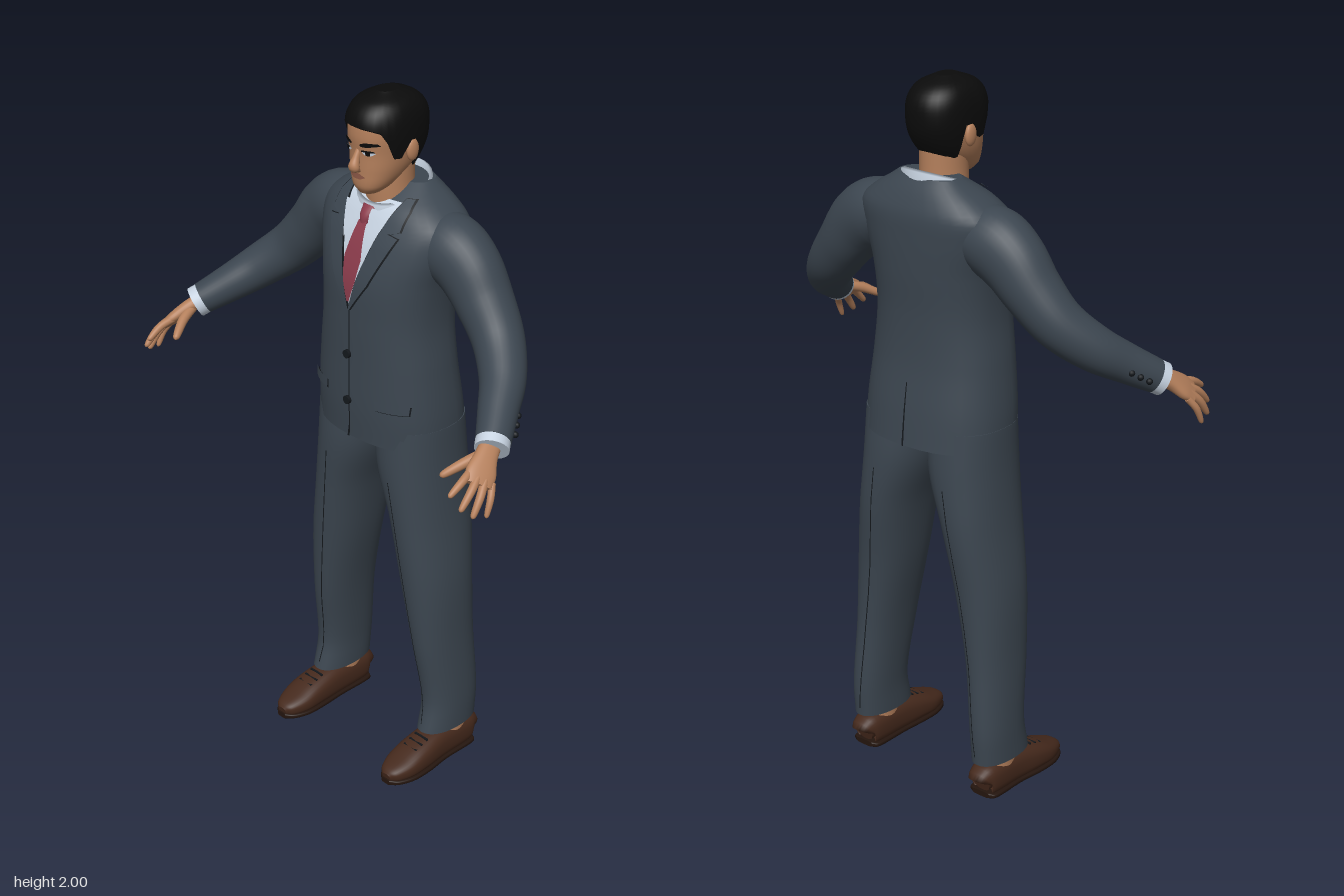
import * as THREE from 'three';

const V = (x, y, z) => new THREE.Vector3(x, y, z);
const mat = (name, color) => Object.assign(new THREE.MeshStandardMaterial({ color }), { name });
const SIDES = 32;

// Smooth interpolation of section rows; the first number of each row is the parameter
function sample(rows, t) {
  const n = rows.length - 1;
  t = THREE.MathUtils.clamp(t, rows[0][0], rows[n][0]);
  let i = 0;
  while (i < n - 1 && t > rows[i + 1][0]) i++;
  const a = rows[Math.max(i - 1, 0)], b = rows[i], c = rows[i + 1], d = rows[Math.min(i + 2, n)];
  const h = c[0] - b[0], u = (t - b[0]) / h, u2 = u * u, u3 = u2 * u;
  return b.slice(1).map((_, j) => {
    const k = j + 1;
    const m0 = (c[k] - a[k]) / (c[0] - a[0]) * h, m1 = (d[k] - b[k]) / (d[0] - b[0]) * h;
    return (2 * u3 - 3 * u2 + 1) * b[k] + (u3 - 2 * u2 + u) * m0 + (3 * u2 - 2 * u3) * c[k] + (u3 - u2) * m1;
  });
}

// Skin over closed rings of points, with flat caps
function loft(rings, caps = true) {
  const n = rings[0].length, pos = [], idx = [];
  rings.forEach(r => r.forEach(p => pos.push(p.x, p.y, p.z)));
  for (let i = 0; i < rings.length - 1; i++) for (let j = 0; j < n; j++) {
    const a = i * n + j, b = i * n + (j + 1) % n;
    idx.push(a, b, b + n, a, b + n, a + n);
  }
  if (caps) [rings[0], rings[rings.length - 1]].forEach((r, end) => {
    const base = pos.length / 3, c = V(0, 0, 0);
    r.forEach(p => { pos.push(p.x, p.y, p.z); c.addScaledVector(p, 1 / n); });
    pos.push(c.x, c.y, c.z);
    for (let j = 0; j < n; j++) {
      const a = base + j, b = base + (j + 1) % n;
      idx.push(base + n, ...(end ? [a, b] : [b, a]));
    }
  });
  return geometry(pos, idx);
}
function geometry(pos, idx) {
  const g = new THREE.BufferGeometry();
  g.setAttribute('position', new THREE.Float32BufferAttribute(pos, 3));
  g.setIndex(idx);
  g.computeVertexNormals();
  return g;
}
const power = (v, p) => Math.sign(v) * Math.abs(v) ** (2 / p);

// Body = rows of [y, centreX, halfWidth, zFront, zBack] with a superellipse outline
function bodyPoint(body, a, y, off = 0) {
  const [cx, w, zf, zb] = sample(body.rows, y);
  return V(cx + (w + off) * power(Math.sin(a), body.p), y,
    (zf + zb) / 2 + ((zf - zb) / 2 + off) * power(Math.cos(a), body.p));
}
const circle = f => Array.from({ length: SIDES }, (_, j) => f(j / SIDES * Math.PI * 2));
function stack(body, steps = 40) {
  const y0 = body.rows[0][0], y1 = body.rows[body.rows.length - 1][0];
  return loft(Array.from({ length: steps + 1 }, (_, i) =>
    circle(a => bodyPoint(body, a, y0 + (y1 - y0) * i / steps))));
}

// Limb = rows of [x, y, z, thickness, width] along a path; ref is the thickness direction
function limb(points, ref, p = 2, steps = 6) {
  const rows = points.map((r, i) => [i, ...r]), n = (rows.length - 1) * steps, rings = [];
  const at = t => V(...sample(rows, t).slice(0, 3));
  for (let i = 0; i <= n; i++) {
    const t = i / steps, s = sample(rows, t), c = at(t);
    const T = at(t + 0.05).sub(at(t - 0.05)).normalize();
    const N = ref.clone().addScaledVector(T, -ref.dot(T)).normalize(), B = T.clone().cross(N);
    rings.push(circle(a => c.clone().addScaledVector(N, s[3] * power(Math.cos(a), p))
      .addScaledVector(B, s[4] * power(Math.sin(a), p))));
  }
  return loft(rings);
}

// Thin panel lying on a body's front (dir 1) or back (dir -1); rows of [y, x0, x1]
function panel(body, rows, off, dir = 1, cols = 6, sub = 5) {
  const pos = [], idx = [], n = (rows.length - 1) * sub;
  for (let i = 0; i <= n; i++) {
    const k = Math.min(Math.floor(i / sub), rows.length - 2), t = i / sub - k;
    const [y, l, r] = rows[k].map((v, j) => THREE.MathUtils.lerp(v, rows[k + 1][j], t));
    const [cx, w, zf, zb] = sample(body.rows, y);
    for (let j = 0; j <= cols; j++) {
      const x = Math.min(l, r) + Math.abs(r - l) * j / cols;
      const q = Math.min(1, Math.abs(x - cx) / (w + off));
      pos.push(x, y, (zf + zb) / 2 + dir * ((zf - zb) / 2 + off) * (1 - q ** body.p) ** (1 / body.p));
    }
  }
  for (let i = 0; i < n; i++) for (let j = 0; j < cols; j++) {
    const a = i * (cols + 1) + j, b = a + 1, c = b + cols + 1, d = a + cols + 1;
    idx.push(...(dir > 0 ? [a, b, c, a, c, d] : [a, c, b, a, d, c]));
  }
  return geometry(pos, idx);
}

export function createModel() {
  const model = new THREE.Group();
  const suit = mat('suit cloth', 0x3c4650), seam = mat('dark seam', 0x14181c), shirt = mat('shirt', 0xc6d2e0),
    tie = mat('tie', 0x8c3c4c), skin = mat('skin', 0xb5805c), hair = mat('hair', 0x0b0b0b),
    leather = mat('shoe leather', 0x45291c), sole = mat('sole', 0x24150e), lip = mat('lips', 0x8f5a48);
  const add = (name, g, m, parent = model) => {
    const mesh = new THREE.Mesh(g, m);
    mesh.name = name;
    parent.add(mesh);
    return mesh;
  };
  const flip = (rows, s) => rows.map(([y, a, b]) => [y, a * s, b * s]);

  // Jacket body
  const torso = { p: 2.4, rows: [[1.025, 0, .216, .045, -.27], [1.12, 0, .213, .05, -.26], [1.25, 0, .2, .05, -.243],
    [1.38, 0, .187, .05, -.24], [1.5, 0, .196, .045, -.247], [1.6, 0, .222, .018, -.25], [1.66, 0, .222, -.01, -.248],
    [1.7, 0, .175, -.035, -.235], [1.73, 0, .125, -.07, -.22], [1.75, 0, .095, -.1, -.205]] };
  add('jacket', stack(torso, 60), suit);
  add('shirtFront', panel(torso, [[1.43, 0, 0], [1.68, -.075, .075], [1.715, -.09, .09]], .004), shirt);
  add('tieBlade', panel(torso, [[1.44, -.004, .004], [1.5, -.022, .022], [1.56, -.03, .03], [1.655, -.014, .014]], .01), tie);
  add('tieKnot', limb([[0, 1.645, -.005, .012, .013], [0, 1.665, -.012, .016, .02], [0, 1.69, -.026, .013, .024]], V(0, 0, 1)), tie);
  add('frontSeam', panel(torso, [[1.025, -.012, -.004], [1.07, -.003, .001], [1.43, -.002, .002]], .004), seam);
  add('backVent', panel(torso, [[1.025, -.004, .002], [1.2, -.002, .001]], .004, -1), seam);
  for (const y of [1.28, 1.14]) {
    const button = add('jacketButton', new THREE.CylinderGeometry(.012, .012, .009, 16), seam);
    button.rotation.x = Math.PI / 2;
    button.position.set(-.006, y, .056);
  }

  // Shirt collar, a band sloping down to the front
  const collar = [[.107, -.05], [.104, 0], [.095, .004], [.088, -.05]].map(([r, dy]) =>
    circle(a => V(r * Math.sin(a), 1.732 + dy - .034 * Math.cos(a), -.113 + r * .92 * Math.cos(a))));
  add('shirtCollar', loft(collar, false), shirt);

  // Neck and head
  const neck = { p: 2, rows: [[1.64, 0, .07, -.035, -.17], [1.74, 0, .062, -.028, -.165], [1.81, 0, .062, -.03, -.165]] };
  const head = { p: 2.25, rows: [[1.735, 0, .026, .006, -.06], [1.755, 0, .048, .018, -.09], [1.8, 0, .069, .021, -.15],
    [1.85, 0, .079, .022, -.186], [1.9, 0, .083, .027, -.195], [1.945, 0, .077, .019, -.187],
    [1.975, 0, .056, -.01, -.157], [1.992, 0, .018, -.06, -.11]] };
  add('neck', stack(neck, 12), skin);
  add('head', stack(head), skin);
  add('nose', limb([[0, 1.867, .014, .006, .007], [0, 1.838, .026, .011, .01], [0, 1.816, .034, .014, .016],
    [0, 1.803, .022, .005, .012]], V(0, 0, 1)), skin);
  add('lips', panel(head, [[1.781, -.012, .012], [1.789, -.027, .027], [1.797, -.01, .01]], .004), lip);

  // Hair cap trimmed along a hairline given by angle from the front
  const hairline = [[0, 1.927], [.6, 1.922], [.92, 1.905], [1.08, 1.855], [1.35, 1.835], [1.5, 1.878],
    [1.8, 1.878], [2.05, 1.805], [Math.PI, 1.778]];
  add('hair', loft(Array.from({ length: 21 }, (_, i) => circle(a => {
    const v = i / 20, low = sample(hairline, Math.min(a, Math.PI * 2 - a))[0];
    const point = bodyPoint(head, a, THREE.MathUtils.lerp(low, 1.992, 1 - (1 - v) ** 1.5), .008);
    point.y += .008 * v;
    return point;
  }))), hair);

  for (const s of [1, -1]) {
    const side = s > 0 ? 'left' : 'right';
    const M = rows => rows.map(([x, ...rest]) => [x * s, ...rest]);

    // Face details
    add(side + 'Brow', panel(head, flip([[1.875, .016, .03], [1.881, .014, .064], [1.888, .03, .058]], s), .004), hair);
    add(side + 'Eye', panel(head, flip([[1.852, .027, .042], [1.858, .019, .052], [1.864, .025, .047]], s), .003), shirt);
    add(side + 'Iris', panel(head, flip([[1.852, .03, .041], [1.865, .029, .042]], s), .005), hair);
    add(side + 'EyeLid', panel(head, flip([[1.862, .018, .054], [1.867, .022, .05]], s), .006), hair);
    const ear = add(side + 'Ear', new THREE.SphereGeometry(1, 16, 12), skin);
    ear.scale.set(.011, .03, .02);
    ear.position.set(.086 * s, 1.853, -.092);

    // Lapel with a dark edge, collar wing and pocket flap
    const lapel = [[1.415, 0, .004], [1.5, .022, .06], [1.6, .052, .105], [1.64, .064, .122], [1.645, .066, .09],
      [1.655, .07, .122], [1.7, .085, .122], [1.725, .092, .112]];
    add(side + 'LapelEdge', panel(torso, flip(lapel.map(([y, a, b]) => [y, a - .003, b + .004]), s), .006), seam);
    add(side + 'Lapel', panel(torso, flip(lapel, s), .0095), suit);
    add(side + 'CollarWing', panel(torso, flip([[1.605, .045, .047], [1.65, .022, .066], [1.69, .012, .082]], s), .0125), shirt);
    add(side + 'PocketEdge', panel(torso, flip([[1.138, .092, .178], [1.165, .09, .18]], s), .003), seam);
    add(side + 'PocketFlap', panel(torso, flip([[1.142, .092, .178], [1.17, .09, .18]], s), .007), suit);

    // Sleeve, cuff and sleeve buttons
    const arm = new THREE.Group();
    arm.name = side + 'Arm';
    model.add(arm);
    const up = V(.7 * s, .7, 0);
    add('sleeve', limb(M([[.13, 1.61, -.13, .08, .085], [.2, 1.598, -.13, .096, .09], [.26, 1.56, -.13, .093, .084],
      [.32, 1.492, -.125, .08, .078], [.39, 1.415, -.105, .07, .07], [.46, 1.35, -.05, .062, .062],
      [.51, 1.302, .018, .053, .054], [.558, 1.258, .086, .045, .047]]), up), suit, arm);
    add('shirtCuff', limb(M([[.55, 1.265, .076, .044, .046], [.57, 1.246, .104, .044, .046]]), up), shirt, arm);
    for (let i = 0; i < 3; i++) {
      const b = add('sleeveButton', new THREE.SphereGeometry(.009, 10, 8), seam, arm);
      b.position.set((.553 + .014 * i) * s, 1.292 - .014 * i, -.01 + .02 * i);
    }

    // Hand
    const back = V(.68 * s, .72, .13);
    add('palm', limb(M([[.556, 1.259, .088, .021, .028], [.575, 1.237, .13, .019, .031], [.592, 1.212, .165, .017, .041],
      [.607, 1.192, .19, .011, .036]]), back, 2.4), skin, arm);
    const fingers = [[[.575, 1.217, .188], [.582, 1.18, .27]], [[.597, 1.203, .188], [.61, 1.145, .258]],
      [[.611, 1.19, .176], [.628, 1.122, .232]], [[.621, 1.178, .157], [.638, 1.112, .192]],
      [[.555, 1.235, .135], [.512, 1.195, .23]]];
    fingers.forEach(([k, t], i) => {
      const at = (u, lift, r) => [...k.map((v, j) => v + (t[j] - v) * u + lift * [.68, .72, .13][j]), r, r];
      const thick = i === 4 ? 1.25 : i === 3 ? .85 : 1;
      add(i === 4 ? 'thumb' : 'finger', limb(M([at(-.15, 0, .011 * thick), at(.4, .008, .011 * thick),
        at(.9, .002, .008 * thick), at(1, 0, .002)]), back, 2, 4), skin, arm);
    });

    // Trouser leg with creases
    const leg = { p: 2.2, rows: [[.105, .218, .054, -.02, -.222], [.2, .216, .055, -.038, -.228], [.4, .2, .062, -.013, -.222],
      [.6, .177, .078, .004, -.228], [.8, .146, .086, .017, -.248], [.95, .116, .104, .025, -.25],
      [1.08, .108, .108, .02, -.24]].map(([y, x, ...r]) => [y, x * s, ...r]) };
    add(side + 'TrouserLeg', stack(leg), suit);
    for (const dir of [1, -1])
      add(side + 'Crease', panel(leg, flip([[.13, .212, .215], [.4, .187, .19], [.92, .12, .123]], s), .003, dir, 1), seam);
    add(side + 'Ankle', stack({ p: 2, rows: [[.06, .218 * s, .042, -.07, -.19], [.16, .218 * s, .042, -.07, -.19]] }, 2), skin);

    // Shoe with flattened bottom, sole and laces
    const shoe = limb(M([[.218, .045, -.205, .03, .028], [.218, .049, -.188, .048, .044], [.218, .05, -.08, .051, .048],
      [.22, .043, 0, .043, .053], [.22, .033, .06, .032, .051], [.22, .026, .105, .022, .035],
      [.22, .022, .123, .012, .016]]), V(0, 1, 0), 2.6);
    add(side + 'Shoe', shoe, leather);
    add(side + 'Sole', limb(M([[.218, .008, -.206, .008, .03], [.218, .008, -.186, .008, .047], [.218, .008, -.08, .008, .048],
      [.22, .008, 0, .008, .055], [.22, .008, .06, .008, .054], [.22, .008, .105, .008, .038],
      [.22, .008, .126, .008, .016]]), V(0, 1, 0), 4), sole);
    for (let i = 0; i < 3; i++) {
      const lace = add(side + 'Lace', new THREE.BoxGeometry(.05, .006, .006), seam);
      lace.position.set(.22 * s, .0905 - .0075 * i, -.018 + .022 * i);
    }
  }
  return model;
}
